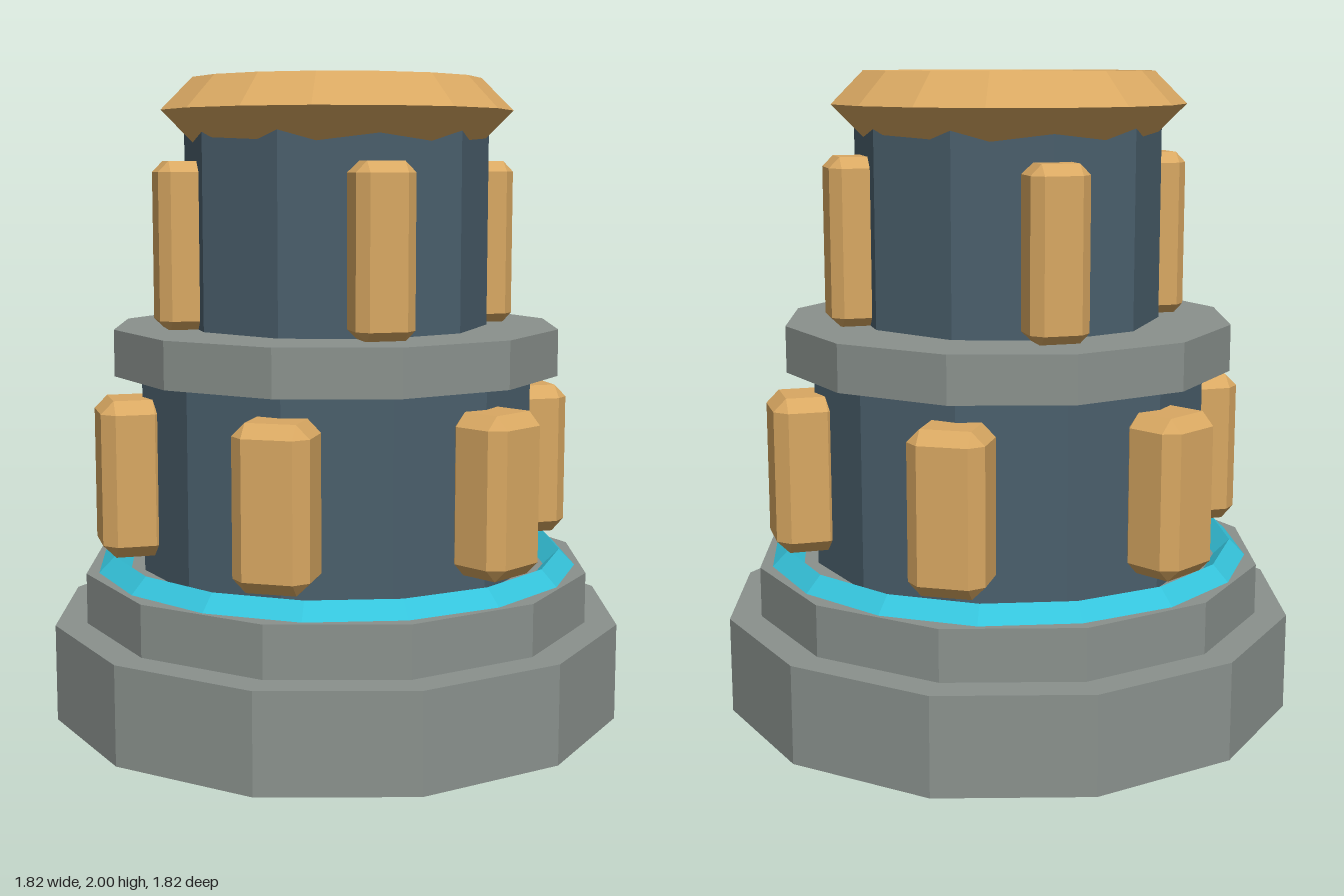
import * as THREE from 'three';
import { ConvexGeometry } from 'three/addons/geometries/ConvexGeometry.js';

const material = (name, color) => {
  const m = new THREE.MeshStandardMaterial({ color, flatShading: true });
  m.name = name;
  return m;
};

// Box with one flat chamfer along every edge and corner
function chamferedBox(w, h, d, c) {
  const half = [w / 2, h / 2, d / 2];
  const points = [];
  for (const sx of [-1, 1]) for (const sy of [-1, 1]) for (const sz of [-1, 1]) {
    const sign = [sx, sy, sz];
    for (let axis = 0; axis < 3; axis++) {
      const p = half.map((v, i) => sign[i] * (i === axis ? v : v - c));
      points.push(new THREE.Vector3(...p));
    }
  }
  return new ConvexGeometry(points);
}

export function createModel() {
  const model = new THREE.Group();
  model.name = 'tower';

  const stone = material('grey stone', 0x8a918d);
  const slate = material('blue slate', 0x4a5f6c);
  const brass = material('pale brass', 0xd9a862);
  const glow = material('cyan', 0x35c4dc);
  const dark = material('dark recess', 0x222e2e);
  const amber = material('amber', 0xcb8a2e);

  const add = (name, geometry, mat, y = 0) => {
    const mesh = new THREE.Mesh(geometry, mat);
    mesh.name = name;
    mesh.position.y = y;
    model.add(mesh);
    return mesh;
  };
  const drum = (name, r, y0, y1, sides, mat) =>
    add(name, new THREE.CylinderGeometry(r, r, y1 - y0, sides), mat, (y0 + y1) / 2);
  const ring = (name, r, tube, y, mat) =>
    add(name, new THREE.TorusGeometry(r, tube, 4, 16).rotateX(-Math.PI / 2), mat, y);

  // Stepped base and glowing band
  drum('base', 0.91, 0, 0.305, 12, stone);
  drum('baseStep', 0.81, 0.305, 0.465, 12, stone);
  ring('glowBand', 0.72, 0.05, 0.465, glow);

  // Two storeys with a ledge between
  drum('lowerDrum', 0.625, 0.465, 1.085, 12, slate);
  drum('ledge', 0.71, 1.085, 1.23, 12, stone);
  drum('upperDrum', 0.48, 1.23, 1.88, 10, slate);

  // Collar, recessed top and central cap
  ring('collar', 0.455, 0.1, 1.9, brass);
  drum('topRecess', 0.4, 1.88, 1.925, 16, dark);
  drum('topCap', 0.2, 1.925, 1.95, 8, amber);

  // Chamfered panels spaced around each storey, facing outward
  const panels = (name, count, outer, y, [w, h, d, c]) => {
    const geometry = chamferedBox(w, h, d, c);
    for (let i = 0; i < count; i++) {
      const a = Math.PI / 2 + (i * 2 * Math.PI) / count;
      const panel = add(name + (i + 1), geometry, brass, y);
      panel.position.x = Math.sin(a) * (outer - d / 2);
      panel.position.z = Math.cos(a) * (outer - d / 2);
      panel.rotation.y = a;
    }
  };
  panels('lowerPanel', 6, 0.765, 0.773, [0.23, 0.49, 0.2, 0.04]);
  panels('upperPanel', 4, 0.575, 1.485, [0.18, 0.52, 0.16, 0.033]);

  return model;
}
